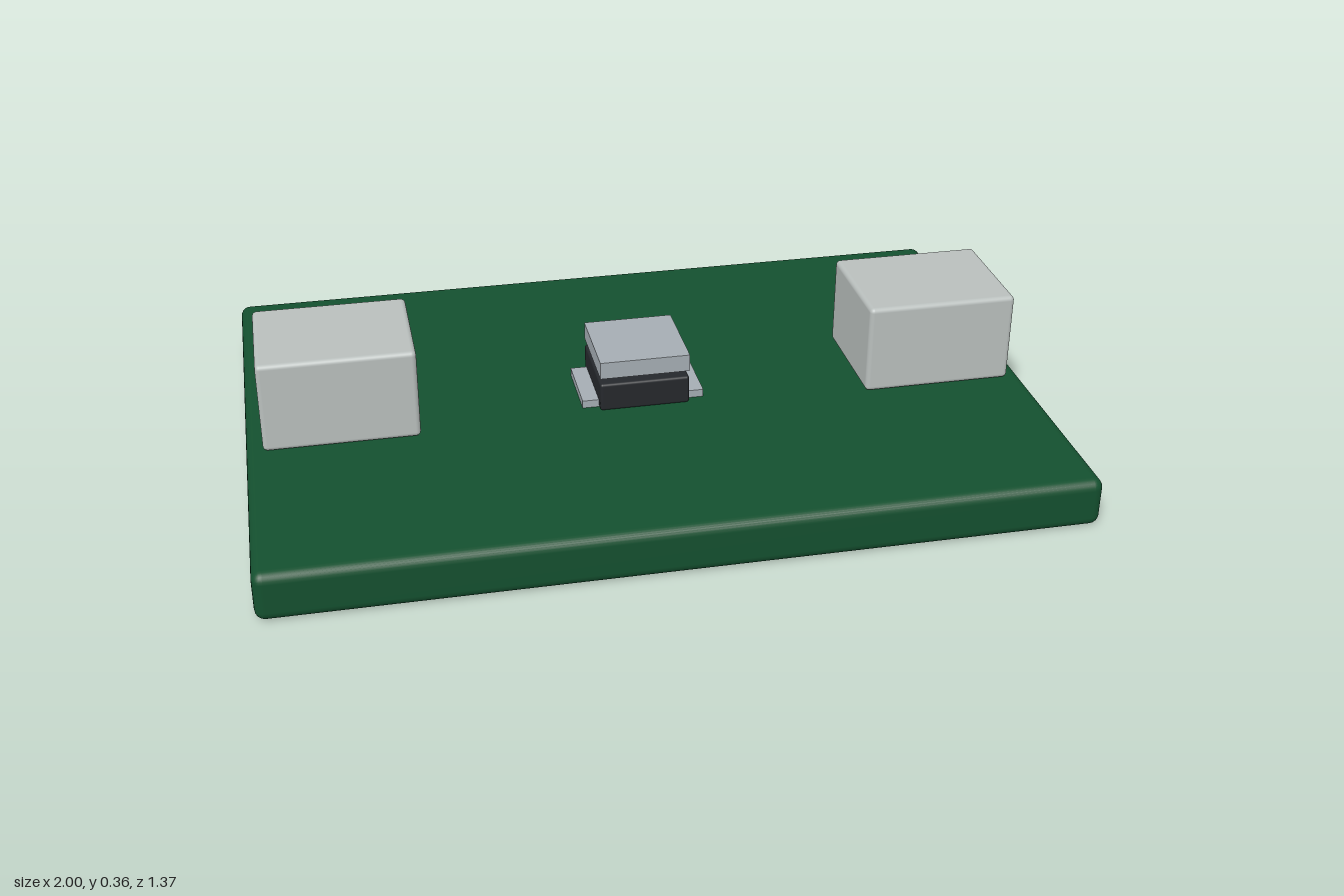
import * as THREE from 'three';
import { RoundedBoxGeometry } from 'three/addons/geometries/RoundedBoxGeometry.js';

const paint = (color) => new THREE.MeshStandardMaterial({ color });

// Box given by its centre in x, its underside in y and its size; radius rounds the edges
function block(name, material, [w, h, d], x, bottom, radius = 0) {
  const geometry = radius > 0
    ? new RoundedBoxGeometry(w, h, d, 3, radius)
    : new THREE.BoxGeometry(w, h, d);
  const mesh = new THREE.Mesh(geometry, material);
  mesh.name = name;
  mesh.position.set(x, bottom + h / 2, 0);
  return mesh;
}

export function createModel() {
  const model = new THREE.Group();
  model.name = 'circuitBoard';

  const green = paint(0x14502f);
  const silver = paint(0xb9bfbd);
  const black = paint(0x25282c);
  const steel = paint(0xa5adb3);
  const top = 0.125;

  // Board
  model.add(block('board', green, [2, top, 1.37], 0, 0, 0.025));

  // Chip with a separate heat plate hovering above it
  const chip = new THREE.Group();
  chip.name = 'chip';
  chip.add(block('chipBody', black, [0.23, 0.075, 0.23], 0, top, 0.007));
  chip.add(block('heatPlate', steel, [0.23, 0.045, 0.23], 0, 0.217));
  model.add(chip);

  // Mirrored pairs: solder leads beside the chip, connectors near the board ends
  for (const [side, s] of [['left', 1], ['right', -1]]) {
    chip.add(block(side + 'Lead', steel, [0.045, 0.02, 0.18], s * 0.1345, top));
    model.add(block(side + 'Connector', silver, [0.385, 0.235, 0.31], s * 0.765, 0.127, 0.012));
  }

  return model;
}
